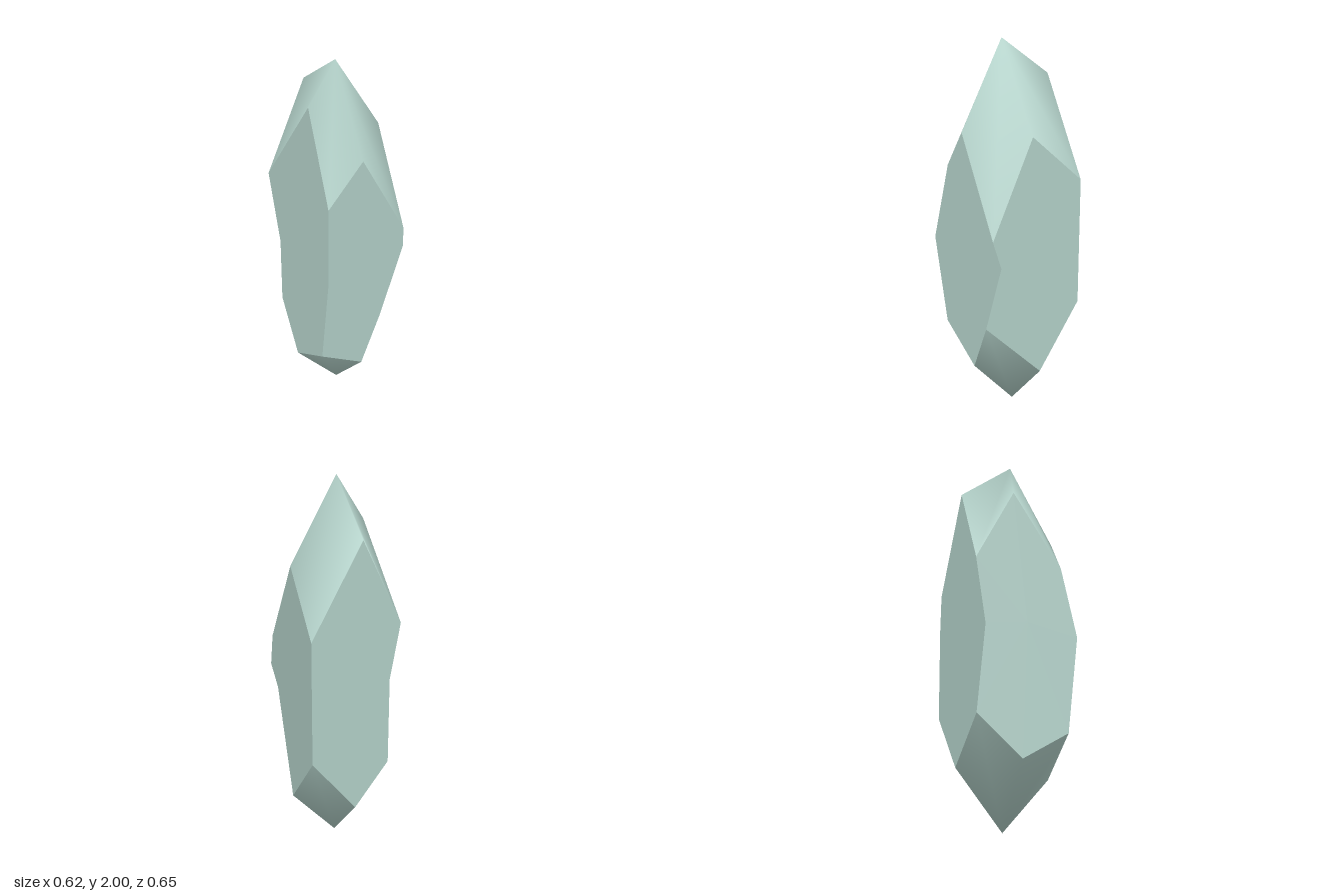
import * as THREE from 'three';

// Cross-sections, going front, right-hand, back, left-hand side (as seen from the front).
// Corner i lies between side i and side i + 1.
const top = [-0.03, 2, 0.05];
const bottom = [0, 0, 0.015];
const upperSide = [[-0.03, 1.58, 0.285], [0.215, 1.58, 0.05], [-0.03, 1.77, -0.225], [-0.155, 1.77, 0.015]];
const upperCorner = [[0.215, 1.1, 0.285], [0.24, 1.3, -0.225], [-0.24, 1.3, -0.225], [-0.2, 1.35, 0.255]];
const midSide = [[0, 0.96, 0.325], [0.31, 0.96, 0.015], [-0.04, 0.96, -0.33], [-0.31, 0.96, 0.015]];
const midCorner = [[0.24, 0.96, 0.255], [0.24, 0.96, -0.225], [-0.22, 0.96, -0.165], [-0.24, 0.96, 0.315]];
const lowerCorner = [[0.108, 0.56, 0.255], [0.24, 0.62, -0.225], [-0.2, 0.5, -0.2], [-0.24, 0.45, 0.255]];
const lowerSide = [[0, 0.29, 0.255], [0.24, 0.29, 0.015], [0, 0.29, -0.225], [-0.24, 0.29, 0.015]];

const material = new THREE.MeshStandardMaterial({ color: 0xb5d3cb, side: THREE.DoubleSide });

// Triangle fan around points[0]
function fan(name, points, even) {
  const geometry = new THREE.BufferGeometry();
  geometry.setAttribute('position', new THREE.Float32BufferAttribute(points.flat(), 3));
  const n = points.length - 1;
  const index = [];
  for (let i = 0; i < n; i++) index.push(0, 1 + i, 1 + (i + 1) % n);
  geometry.setIndex(index);
  geometry.computeVertexNormals();
  if (even) {
    // One shared normal keeps the broad facet evenly shaded
    const sum = new THREE.Vector3();
    const normal = geometry.attributes.normal;
    for (let i = 0; i <= n; i++) sum.add(new THREE.Vector3().fromBufferAttribute(normal, i));
    sum.normalize();
    for (let i = 0; i <= n; i++) normal.setXYZ(i, sum.x, sum.y, sum.z);
  }
  const mesh = new THREE.Mesh(geometry, material);
  mesh.name = name;
  return mesh;
}

export function createModel() {
  const crystal = new THREE.Group();
  crystal.name = 'crystal';

  // Four broad, slightly bulging facets
  ['frontFacet', 'leftFacet', 'backFacet', 'rightFacet'].forEach((name, i) => {
    const j = (i + 3) % 4;
    crystal.add(fan(name, [
      midSide[i], upperSide[i], upperCorner[j], midCorner[j], lowerCorner[j],
      lowerSide[i], lowerCorner[i], midCorner[i], upperCorner[i],
    ], true));
  });

  // Smooth pointed ends, zigzagging around the facets
  const upperRim = [], lowerRim = [];
  for (let i = 0; i < 4; i++) {
    upperRim.push(upperSide[i], upperCorner[i]);
    lowerRim.unshift(lowerCorner[i], lowerSide[i]);
  }
  crystal.add(fan('upperTip', [top, ...upperRim], false));
  crystal.add(fan('lowerTip', [bottom, ...lowerRim], false));
  return crystal;
}
